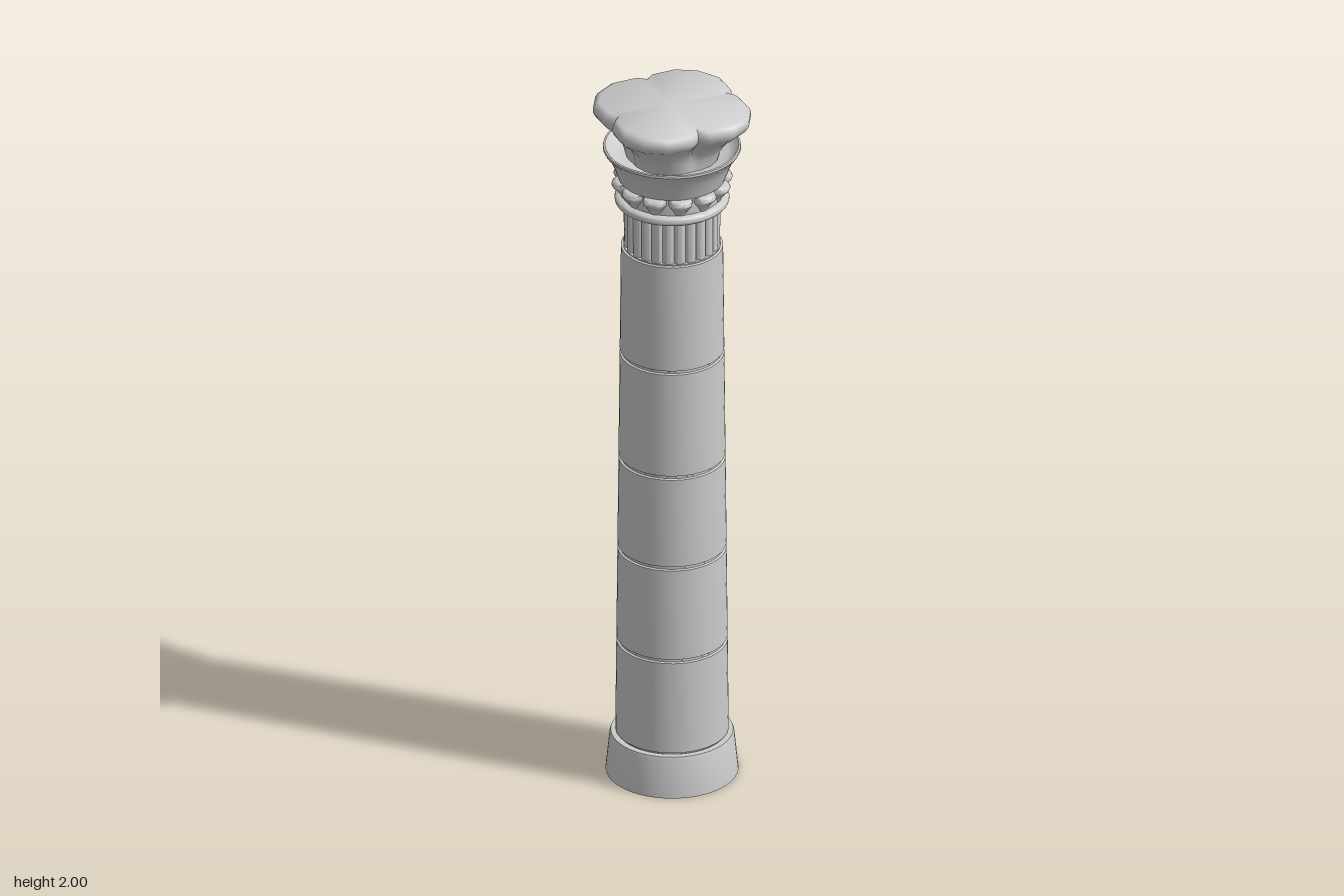
import * as THREE from 'three';
import { toCreasedNormals } from 'three/addons/utils/BufferGeometryUtils.js';

const material = new THREE.MeshStandardMaterial({ color: 0xcccccc, side: THREE.DoubleSide });

function addPart(group, name, geometry, crease = 0.6) {
  const mesh = new THREE.Mesh(toCreasedNormals(geometry, crease), material);
  mesh.name = name;
  group.add(mesh);
  return mesh;
}

// Turned shape from [radius, height] pairs, listed bottom to top
function turned(profile, segments = 48) {
  return new THREE.LatheGeometry(profile.map(([r, y]) => new THREE.Vector2(r, y)), segments);
}

// Move every vertex by a rule
function reshape(geometry, rule) {
  const pos = geometry.attributes.position;
  const v = new THREE.Vector3();
  for (let i = 0; i < pos.count; i++) {
    v.fromBufferAttribute(pos, i);
    rule(v);
    pos.setXYZ(i, v.x, v.y, v.z);
  }
  return geometry;
}

// Neck with rounded vertical reeds
function reededNeck(count) {
  const geometry = turned([[0.127, 1.575], [0.128, 1.715]], count * 8);
  return reshape(geometry, (v) => {
    const wave = Math.abs(Math.cos(Math.atan2(v.x, v.z) * count / 2));
    const k = 0.93 + 0.08 * Math.sqrt(wave);
    v.x *= k;
    v.z *= k;
  });
}

// Leaf that widens upwards and curls back over its top
function leaf(angle) {
  const steps = [ // radius, height, half width
    [0.136, 1.733, 0.012], [0.141, 1.744, 0.018], [0.15, 1.756, 0.029], [0.16, 1.765, 0.038],
    [0.163, 1.772, 0.04], [0.16, 1.779, 0.038], [0.15, 1.783, 0.036], [0.134, 1.784, 0.034],
  ];
  const geometry = new THREE.PlaneGeometry(2, steps.length - 1, 8, steps.length - 1);
  return reshape(geometry, (v) => {
    const [r, y, half] = steps[Math.round(v.y + (steps.length - 1) / 2)];
    const a = angle + v.x * half / r;
    const bulged = 0.134 + (r - 0.134) * Math.sqrt(Math.max(0, 1 - v.x * v.x));
    v.set(Math.sin(a) * bulged, y, Math.cos(a) * bulged);
  });
}

// Four-lobed crown: a turned shape whose rings follow a lobed outline
function lobedCrown() {
  const lobe = [[0, 0.217], [0.065, 0.2], [0.114, 0.15], [0.118, 0.118], [0.15, 0.114], [0.2, 0.065]];
  const profile = [
    [0.125, 1.845], [0.135, 1.88], [0.147, 1.9], [0.165, 1.92], [0.188, 1.94], [0.208, 1.955],
    [0.217, 1.97], [0.217, 1.982], [0.211, 1.993], [0.2, 2], [0, 2],
  ];
  return reshape(turned(profile, 24), (v) => {
    const r = Math.hypot(v.x, v.z);
    if (r < 1e-6) return;
    const k = (Math.round(Math.atan2(v.x, v.z) / (Math.PI / 12)) + 24) % 24;
    const [px, pz] = lobe[k % 6];
    const turn = Math.floor(k / 6) * Math.PI / 2;
    const c = Math.cos(turn), s = Math.sin(turn);
    // lobes fade towards a circle low on the crown
    const mix = THREE.MathUtils.clamp((v.y - 1.82) / 0.1, 0, 1);
    const lx = (px * c + pz * s) * r / 0.217;
    const lz = (pz * c - px * s) * r / 0.217;
    v.x = THREE.MathUtils.lerp(v.x, lx, mix);
    v.z = THREE.MathUtils.lerp(v.z, lz, mix);
  });
}

export function createModel() {
  const column = new THREE.Group();
  column.name = 'column';

  // Open-bottomed base with a ledge
  addPart(column, 'base', turned([[0.177, 0], [0.166, 0.108], [0.163, 0.117], [0.146, 0.117]]));

  // Tapering drums with a recessed joint between each pair
  const joints = [0.117, 0.397, 0.675, 0.947, 1.262, 1.584];
  const radiusAt = (y) => THREE.MathUtils.mapLinear(y, 0.117, 1.584, 0.151, 0.136);
  const shaft = new THREE.Group();
  shaft.name = 'shaft';
  for (let i = 0; i < joints.length - 1; i++) {
    const y0 = joints[i] + 0.004, y1 = joints[i + 1] - 0.004;
    const r0 = radiusAt(y0), r1 = radiusAt(y1);
    addPart(shaft, 'drum', turned([
      [r0 - 0.006, y0 - 0.004], [r0 - 0.006, y0], [r0, y0 + 0.002],
      [r1, y1 - 0.002], [r1 - 0.006, y1], [r1 - 0.006, y1 + 0.004],
    ]));
  }
  column.add(shaft);
  addPart(column, 'shaftTop', turned([[0.131, 1.584], [0.11, 1.584]]));

  addPart(column, 'reededNeck', reededNeck(24), 0.7);

  // Rounded ring under the leaves
  const ring = [[0.12, 1.708]];
  for (let i = 0; i <= 8; i++) {
    const a = -Math.PI / 2 + Math.PI * i / 8;
    ring.push([0.14 + 0.013 * Math.cos(a), 1.721 + 0.013 * Math.sin(a)]);
  }
  ring.push([0.12, 1.734]);
  addPart(column, 'collarRing', turned(ring));

  // Leaf band around a plain core
  addPart(column, 'leafCore', turned([[0.134, 1.73], [0.134, 1.79]]));
  const leaves = new THREE.Group();
  leaves.name = 'leafBand';
  for (let i = 0; i < 12; i++) addPart(leaves, 'leaf', leaf(i * Math.PI / 6), 0.9);
  column.add(leaves);

  // Flared bell, hollow at the top
  addPart(column, 'bell', turned([
    [0.13, 1.782], [0.143, 1.785], [0.15, 1.805], [0.159, 1.83], [0.171, 1.855], [0.181, 1.866],
    [0.184, 1.872], [0.183, 1.878], [0.178, 1.879], [0.168, 1.866], [0.15, 1.853], [0.11, 1.85],
  ]));

  addPart(column, 'lobedCrown', lobedCrown(), 0.85);
  return column;
}
